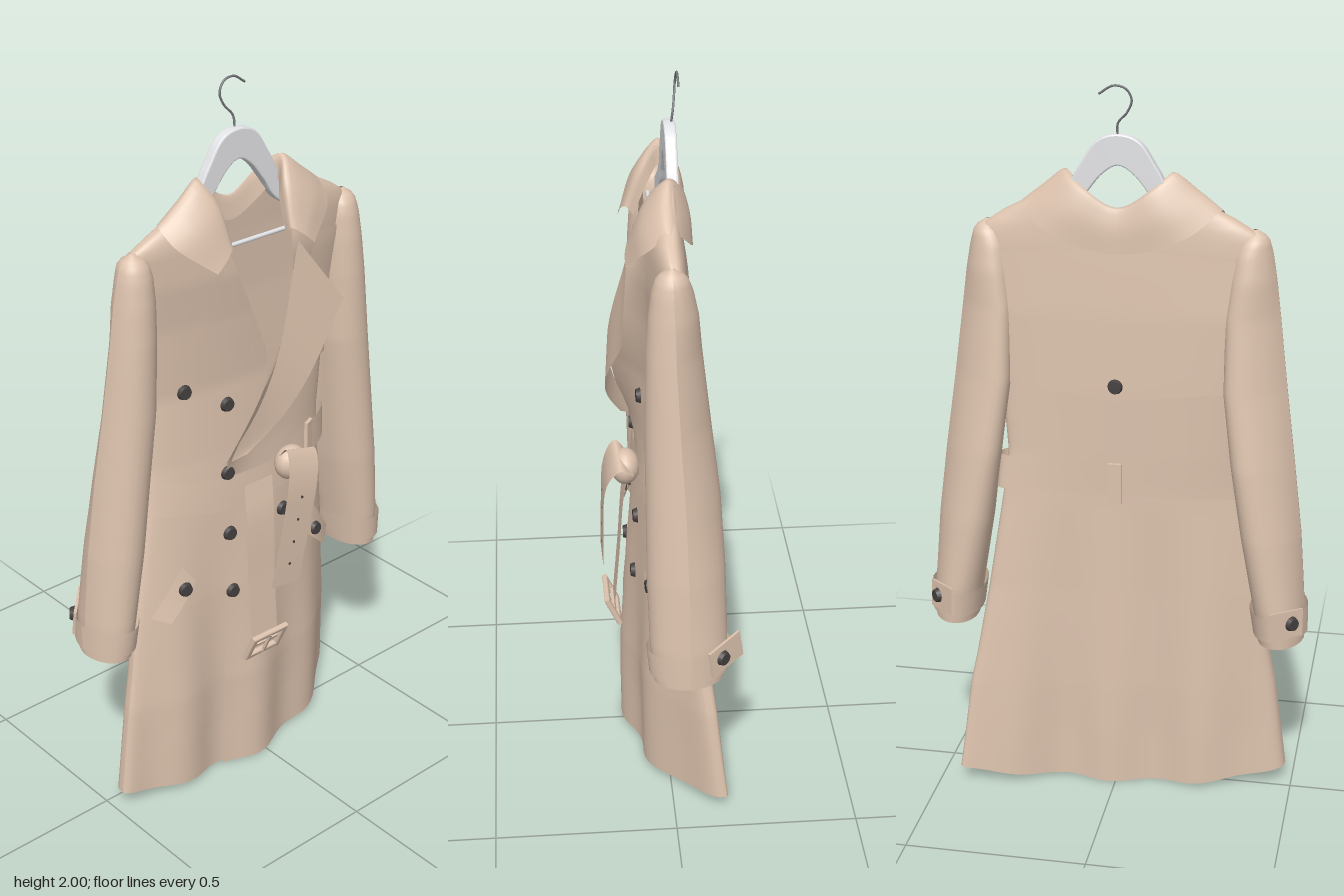
import * as THREE from 'three';

const mat = (name, color, side = THREE.FrontSide) => {
  const m = new THREE.MeshStandardMaterial({ color, side });
  m.name = name;
  return m;
};

export function createModel() {
  const coat = new THREE.Group();
  coat.name = 'trenchCoat';
  const fabric = mat('tan fabric', 0xdcc2ad, THREE.DoubleSide);
  const dark = mat('dark button', 0x454140);
  const grey = mat('hanger grey', 0xe6e7ea);
  const steel = mat('steel', 0x77787c);
  const { lerp, clamp } = THREE.MathUtils;

  const add = (name, geo, m = fabric, parent = coat) => {
    const mesh = new THREE.Mesh(geo, m);
    mesh.name = name;
    parent.add(mesh);
    return mesh;
  };
  // rows of [key, ...values], linearly interpolated
  const table = (rows, k) => {
    let i = 0;
    while (i < rows.length - 2 && k > rows[i + 1][0]) i++;
    const a = rows[i], b = rows[i + 1];
    const f = clamp((k - a[0]) / (b[0] - a[0]), 0, 1);
    return a.slice(1).map((v, j) => lerp(v, b[j + 1], f));
  };
  // surface from fn(u, v) -> [x, y, z]
  const grid = (nu, nv, fn) => {
    const pos = [], idx = [];
    for (let j = 0; j <= nv; j++) for (let i = 0; i <= nu; i++) pos.push(...fn(i / nu, j / nv));
    for (let j = 0; j < nv; j++) for (let i = 0; i < nu; i++) {
      const p = j * (nu + 1) + i, q = p + nu + 1;
      idx.push(p, p + 1, q, q, p + 1, q + 1);
    }
    const g = new THREE.BufferGeometry();
    g.setAttribute('position', new THREE.Float32BufferAttribute(pos, 3));
    g.setIndex(idx);
    g.computeVertexNormals();
    return g;
  };

  // body sections: y, -x side, +x side, middle z, front depth, back depth, backward sweep of -x and +x sides
  const sections = [
    [0.0, -0.48, 0.44, 0.025, 0.07, 0.08, -0.025, 0.155], [0.3, -0.445, 0.41, 0.03, 0.068, 0.085, -0.015, 0.125],
    [0.6, -0.395, 0.36, 0.03, 0.056, 0.08, 0, 0.085], [0.9, -0.335, 0.315, 0.02, 0.044, 0.068, 0.005, 0.05],
    [1.0, -0.325, 0.305, 0.012, 0.043, 0.062, 0.01, 0.035], [1.2, -0.325, 0.32, 0, 0.042, 0.052, 0.015, 0.02],
    [1.4, -0.35, 0.35, 0, 0.05, 0.052, 0.015, 0.015], [1.52, -0.37, 0.375, 0.005, 0.055, 0.052, 0.01, 0.01],
    [1.58, -0.375, 0.382, 0.006, 0.053, 0.05, 0.008, 0.008], [1.62, -0.37, 0.37, 0.007, 0.05, 0.048, 0.005, 0.005],
    [1.66, -0.3, 0.31, 0.007, 0.047, 0.046, 0, 0], [1.69, -0.235, 0.25, 0.005, 0.043, 0.042, 0, 0],
    [1.76, -0.14, 0.16, 0, 0.03, 0.03, 0, 0]];
  // point on the body: angle 0 is the front centre, PI the back centre
  const surf = (a, y, off = 0) => {
    const [xl, xr, mid, df, db, bendL, bendR] = table(sections, y);
    const s = Math.sin(a), c = Math.cos(a);
    const x = (xl + xr) / 2 + ((xr - xl) / 2 + off) * s;
    const fold = 0.017 * clamp((0.85 - y) / 0.7, 0, 1) * Math.cos(x * 24 + (c > 0 ? 0.6 : 2.6));
    const hem = 0.05 * s * s * clamp(1 - y / 0.4, 0, 1);
    const depth = c > 0 ? (df + off) * c : -(db + off) * Math.abs(c) ** 0.65;
    return [x, y + hem, mid - (s < 0 ? bendL : bendR) * s * s + depth + fold * Math.abs(c)];
  };
  const angleAt = (x, y, off = 0) => {
    const [xl, xr] = table(sections, y);
    return Math.asin(clamp((2 * x - xl - xr) / (xr - xl + 2 * off), -1, 1));
  };
  const onBody = (x, y, off, back) => {
    const a = angleAt(x, y, off);
    return surf(back ? Math.PI - a : a, y, off);
  };

  // front panels, the wearer's left one lapping over the right and rolling out at the lapel
  const leftEdge = [[0, -0.14], [1.0, -0.11], [1.33, 0.02], [1.6, 0.115], [1.76, 0.15]];
  const rightEdge = [[0, 0.06], [1.25, 0.06], [1.35, 0.02], [1.6, -0.095], [1.76, -0.13]];
  const panel = (edge, sign, off, roll) => grid(32, 88, (u, v) => {
    const y = 1.76 * v, lift = roll * Math.sin(Math.PI * clamp((y - 0.92) / 0.68, 0, 1));
    return surf(lerp(angleAt(table(edge, y)[0], y), sign * Math.PI / 2, u), y, off * (1 - u) + lift * (1 - u) ** 8);
  });
  add('frontLeftPanel', panel(leftEdge, 1, 0.012, 0.09));
  add('frontRightPanel', panel(rightEdge, -1, 0, 0));
  // back with a scooped neckline
  add('backPanel', grid(48, 88, (u, v) => {
    const a = Math.PI / 2 + Math.PI * u, y = 1.76 * v;
    const p = surf(a, y), top = 1.655 + 0.1 * (p[0] / 0.14) ** 2;
    return y > top ? onBody(p[0], top, 0, true) : p;
  }));

  // four-cornered cloth pieces, corners in turn, blended between the corners
  const blend = ([A, B, C, D], u, v) => A.map((_, k) => lerp(lerp(A[k], B[k], u), lerp(D[k], C[k], u), v));
  // corners [x, y, offset] lying on the body
  const patch = (name, corners, back = false) => add(name, grid(14, 14, (u, v) => {
    const [x, y, o] = blend(corners, u, v);
    return onBody(x, y, o, back);
  }));
  // the large lapel stands off the chest in a soft roll
  const lapel = [[0.115, 1.57, 0.1], [0.26, 1.375, 0.125], [-0.07, 1.01, 0.11], [-0.12, 0.98, 0.075]];
  add('leftLapel', grid(14, 20, (u, v) => {
    const [x, y, z] = blend(lapel, u, v);
    return [x, y, z + 0.062 * Math.sin(Math.PI * v ** 1.2) * (1 - 0.3 * u)];
  }));
  patch('rightLapel', [[-0.095, 1.58, 0.014], [-0.18, 1.36, 0.02], [-0.03, 1.25, 0.014], [0.015, 1.345, 0.012]]);
  patch('stormFlap', [[0.17, 1.56, 0.012], [0.35, 1.54, 0.01], [0.315, 1.16, 0.016], [0.165, 1.17, 0.022]]);
  patch('rightPocketFlap', [[-0.27, 0.72, 0.012], [-0.23, 0.665, 0.014], [-0.325, 0.57, 0.03], [-0.375, 0.595, 0.025]]);
  patch('leftPocketFlap', [[0.235, 0.72, 0.012], [0.19, 0.645, 0.016], [0.3, 0.545, 0.03], [0.345, 0.575, 0.025]]);
  for (const s of [1, -1]) // back yoke, in two halves meeting at a point
    patch('backYoke', [[0, 1.58, 0.005], [s * 0.35, 1.55, 0.005], [s * 0.31, 1.2, 0.012], [0, 1.165, 0.016]], true);

  // collar: rails of stand, crest, fall and outer edge, swept round the neck
  const half = [
    [[0.1, 1.58, 0.07], [0.1, 1.605, 0.09], [0.13, 1.585, 0.105], [0.165, 1.555, 0.108]],
    [[0.11, 1.67, 0.03], [0.115, 1.715, 0.05], [0.19, 1.675, 0.066], [0.26, 1.635, 0.055]],
    [[0.13, 1.71, 0], [0.14, 1.775, 0], [0.205, 1.73, 0.004], [0.27, 1.68, 0]],
    [[0.085, 1.66, -0.025], [0.09, 1.735, -0.038], [0.13, 1.685, -0.054], [0.185, 1.615, -0.058]],
    [[0, 1.62, -0.03], [0, 1.685, -0.042], [0, 1.635, -0.058], [0, 1.565, -0.062]]];
  const mirrored = half.slice(0, 4).reverse().map(st => st.map(([x, y, z]) => [-x, y, z]));
  const stations = [...half, ...mirrored];
  const curve = pts => new THREE.CatmullRomCurve3(pts.map(p => new THREE.Vector3(...p)));
  const rails = [0, 1, 2, 3].map(k => curve(stations.map(st => st[k])));
  add('collar', grid(48, 12, (u, v) =>
    new THREE.CatmullRomCurve3(rails.map(r => r.getPoint(u))).getPoint(v).toArray()));

  // sleeves: y, inner x, outer x, middle z, half depth, inward lean of the back
  const arm = [[0.495, 0.4, 0.525, -0.033, 0.093, 0.01], [0.6, 0.385, 0.523, -0.033, 0.103, 0.015],
    [0.8, 0.352, 0.507, -0.028, 0.104, 0.03], [1.0, 0.328, 0.482, -0.022, 0.098, 0.045],
    [1.2, 0.305, 0.455, -0.01, 0.086, 0.05], [1.4, 0.3, 0.43, 0, 0.072, 0.04], [1.5, 0.3, 0.417, 0.002, 0.064, 0.02],
    [1.57, 0.305, 0.405, 0.005, 0.052, 0.01], [1.605, 0.315, 0.395, 0.006, 0.04, 0],
    [1.625, 0.335, 0.38, 0.006, 0.022, 0], [1.632, 0.35, 0.362, 0.006, 0.004, 0]];
  const sleeve = (s, y0, y1, off, nv) => grid(28, nv, (u, v) => {
    const y = lerp(y0, y1, v), a = -2 * Math.PI * u, sn = Math.sin(a);
    const [xi, xo, zc, rz, lean] = table(arm, y);
    const x = (xi + xo) / 2 + ((xo - xi) / 2 + off) * Math.cos(a) - lean * Math.max(0, -sn);
    return [s * x, y, zc + (rz + off) * sn];
  });
  const button = (p, dir, name = 'button') => {
    const b = add(name, new THREE.CylinderGeometry(0.017, 0.021, 0.012, 16), dark);
    b.position.set(...p);
    b.quaternion.setFromUnitVectors(new THREE.Vector3(0, 1, 0), new THREE.Vector3(...dir).normalize());
  };
  for (const s of [1, -1]) {
    add('sleeve', sleeve(s, 0.495, 1.632, 0, 80));
    add('cuffStrap', sleeve(s, 0.52, 0.595, 0.01, 3));
    const tab = add('cuffTab', new THREE.BoxGeometry(0.008, 0.075, 0.12));
    tab.position.set(s * 0.48, 0.575, -0.128);
    tab.rotation.set(0.15, s * 0.75, 0);
    button([s * 0.5, 0.575, -0.122], [s, 0, -0.9], 'cuffButton');
  }

  // front and back buttons
  for (const [x, y, off] of [[-0.22, 1.215, 0.014], [-0.09, 1.145, 0.014], [0.09, 1.145, 0.032], [0.22, 1.215, 0.026],
    [-0.11, 0.955, 0.026], [-0.11, 0.77, 0.02], [0.09, 0.77, 0.02], [-0.11, 0.59, 0.02], [0.09, 0.59, 0.02],
    [-0.27, 0.655, 0.024], [0.24, 0.635, 0.026]])
    button(onBody(x, y, off), [x * 0.5, 0, 1]);
  button(onBody(0, 1.205, 0.02, true), [0, 0, -1], 'backButton');

  // belt round the waist, dipping towards the knot
  add('belt', grid(80, 4, (u, v) => {
    const a = 2 * Math.PI * u - Math.PI;
    const dip = Math.cos(a) > 0 ? 0.05 * Math.cos(a) ** 2 * (Math.sin(a) < 0.4 ? 1 : 0.3) : 0;
    return surf(a, 0.94 - dip + (v - 0.5) * 0.095, 0.02);
  }));
  const loop = (x, y, back) => {
    const l = add('beltLoop', new THREE.BoxGeometry(0.036, 0.115, 0.01));
    l.position.set(...onBody(x, y, 0.025, back));
    l.rotation.y = back ? 0 : x * 2;
  };
  loop(0.21, 0.935, false);
  loop(0, 0.93, true);

  // hanging belt ends: rails of left and right edge points
  const ribbon = (name, left, right) => {
    const L = curve(left), R = curve(right);
    add(name, grid(4, 16, (u, v) => L.getPoint(v).lerp(R.getPoint(v), u).toArray()));
  };
  ribbon('beltTail',
    [[0.05, 0.95, 0.1], [0.05, 0.99, 0.135], [0.035, 0.93, 0.165], [0, 0.76, 0.174], [-0.035, 0.6, 0.175]],
    [[0.15, 0.93, 0.09], [0.165, 0.955, 0.125], [0.145, 0.9, 0.162], [0.105, 0.74, 0.172], [0.07, 0.585, 0.172]]);
  ribbon('buckleStrap',
    [[-0.06, 0.9, 0.09], [-0.07, 0.8, 0.11], [-0.075, 0.6, 0.125], [-0.075, 0.42, 0.14]],
    [[0.04, 0.9, 0.09], [0.03, 0.8, 0.11], [0.022, 0.6, 0.125], [0.02, 0.42, 0.14]]);
  const knot = add('beltKnot', new THREE.SphereGeometry(1, 16, 10));
  knot.scale.set(0.05, 0.05, 0.04);
  knot.position.set(0.09, 0.93, 0.11);
  for (let i = 0; i < 4; i++) {
    const hole = add('beltHole', new THREE.CylinderGeometry(0.004, 0.004, 0.004, 8), dark);
    hole.rotation.x = Math.PI / 2;
    hole.position.set(0.077 - i * 0.015, 0.85 - i * 0.065, 0.172 + i * 0.0007);
  }

  // buckle frame with bar and pin
  const buckle = new THREE.Group();
  buckle.name = 'buckle';
  const rect = (P, w, h) => {
    const p = new P();
    p.moveTo(-w, -h); p.lineTo(w, -h); p.lineTo(w, h); p.lineTo(-w, h); p.closePath();
    return p;
  };
  const frame = rect(THREE.Shape, 0.06, 0.042);
  frame.holes.push(rect(THREE.Path, 0.052, 0.034));
  add('buckleFrame', new THREE.ExtrudeGeometry(frame, {
    depth: 0.008, bevelSize: 0.005, bevelThickness: 0.004, bevelSegments: 2 }), fabric, buckle);
  add('buckleBar', new THREE.BoxGeometry(0.1, 0.009, 0.009), fabric, buckle);
  add('bucklePin', new THREE.BoxGeometry(0.009, 0.075, 0.008), fabric, buckle).position.z = 0.01;
  buckle.position.set(-0.03, 0.41, 0.142);
  buckle.rotation.set(0.42, 0, -0.03);
  coat.add(buckle);

  // hanger: arched arms, trouser bar and wire hook
  const upper = [[0.28, 1.615], [0.16, 1.69], [0.1, 1.785], [0.055, 1.85], [0, 1.868]];
  const lower = [[0, 1.795], [0.045, 1.77], [0.09, 1.715], [0.14, 1.65], [0.28, 1.575]];
  const flip = pts => pts.map(([x, y]) => [-x, y]).reverse();
  const v2 = pts => pts.map(p => new THREE.Vector2(...p));
  const arms = new THREE.Shape();
  arms.moveTo(0.28, 1.615);
  arms.splineThru(v2([...upper.slice(1), ...flip(upper).slice(1)]));
  arms.lineTo(-0.28, 1.575);
  arms.splineThru(v2([...flip(lower).slice(1), ...lower.slice(1)]));
  arms.closePath();
  add('hangerArms', new THREE.ExtrudeGeometry(arms, {
    depth: 0.02, curveSegments: 32, bevelSize: 0.004, bevelThickness: 0.005, bevelSegments: 2 }), grey)
    .position.z = -0.025;
  const bar = add('hangerBar', new THREE.CylinderGeometry(0.006, 0.006, 0.54, 10), grey);
  bar.rotation.z = Math.PI / 2;
  bar.position.set(0, 1.575, 0.02);
  const hook = curve([[0, 1.85, -0.018], [0, 1.9, -0.025], [-0.025, 1.93, -0.03], [-0.037, 1.962, -0.033],
    [-0.022, 1.99, -0.035], [0.01, 1.997, -0.035], [0.048, 1.975, -0.035]]);
  add('hangerHook', new THREE.TubeGeometry(hook, 40, 0.003, 8), steel);

  return coat;
}
